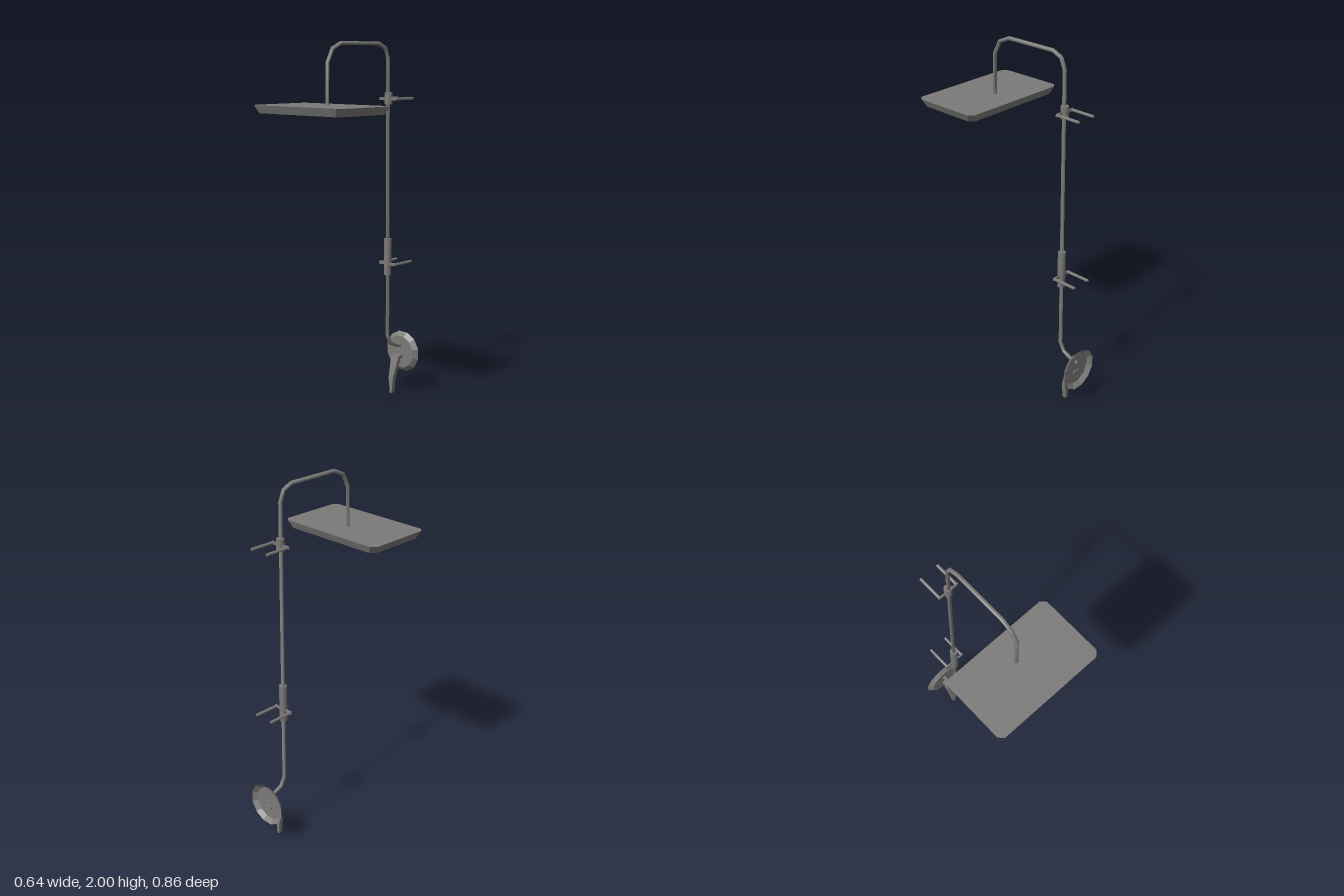
import * as THREE from 'three';
import { toCreasedNormals } from 'three/addons/utils/BufferGeometryUtils.js';

// Sweep a cross-section along points [y, z, halfWidth, halfDepth] in the x = 0 plane.
function sweep(path, sides, turn, caps) {
  const pos = [], index = [];
  const at = path.map(([y, z]) => new THREE.Vector2(z, y));
  path.forEach(([y, z, w, d], i) => {
    const before = at[Math.max(i - 1, 0)], after = at[Math.min(i + 1, at.length - 1)];
    const a = i > 0 ? at[i].clone().sub(before).normalize() : null;
    const b = i < at.length - 1 ? after.clone().sub(at[i]).normalize() : null;
    const t = (a && b ? a.clone().add(b) : a || b).clone().normalize();
    const miter = 1 / Math.abs(t.dot(a || b));
    for (let s = 0; s < sides; s++) {
      const ang = turn + (s / sides) * Math.PI * 2;
      const off = Math.sin(ang) * d * miter;
      pos.push(Math.cos(ang) * w, y - t.x * off, z + t.y * off);
      if (i < path.length - 1) {
        const p = i * sides + s, q = i * sides + (s + 1) % sides;
        index.push(p, p + sides, q, q, p + sides, q + sides);
      }
    }
  });
  if (caps) {
    const last = (path.length - 1) * sides;
    for (let s = 1; s < sides - 1; s++) {
      index.push(0, s, s + 1, last, last + s + 1, last + s);
    }
  }
  const g = new THREE.BufferGeometry();
  g.setAttribute('position', new THREE.Float32BufferAttribute(pos, 3));
  // Wind the faces outward
  for (let i = 0; i < index.length; i += 3) [index[i + 1], index[i + 2]] = [index[i + 2], index[i + 1]];
  g.setIndex(index);
  g.computeVertexNormals();
  return g;
}

export function createModel() {
  const root = new THREE.Group();
  root.name = 'rainShower';
  const metal = new THREE.MeshStandardMaterial({ color: 0x7b7a78, side: THREE.DoubleSide });
  metal.name = 'brushed grey metal';

  function add(name, geometry, crease, parent = root) {
    const mesh = new THREE.Mesh(toCreasedNormals(geometry, crease), metal);
    mesh.name = name;
    parent.add(mesh);
    return mesh;
  }

  // Shower head: chamfered slab, narrower underneath
  const w = 0.32, h = 0.195, c = 0.025;
  const outline = new THREE.Shape([
    [-w + c, -h], [w - c, -h], [w, -h + c], [w, h - c],
    [w - c, h], [-w + c, h], [-w, h - c], [-w, -h + c],
  ].map(([x, y]) => new THREE.Vector2(x, y)));
  const slab = new THREE.ExtrudeGeometry(outline, { depth: 0.042, bevelEnabled: false });
  const p = slab.attributes.position;
  for (let i = 0; i < p.count; i++) {
    if (p.getZ(i) > 0.02) {
      p.setX(i, p.getX(i) - Math.sign(p.getX(i)) * 0.022);
      p.setY(i, p.getY(i) - Math.sign(p.getY(i)) * 0.018);
    }
  }
  slab.rotateX(Math.PI / 2);
  add('showerHead', slab, 0.3).position.set(0, 1.672, 0.235);

  // Riser pipe with overhead arm and bent foot
  const r = 0.0105;
  const pipe = [
    [0.27, -0.412], [0.275, -0.375], [0.3, -0.32], [0.35, -0.294], [1.91, -0.285],
    [1.965, -0.262], [1.989, -0.21], [1.989, 0.085], [1.96, 0.15], [1.89, 0.187], [1.665, 0.19],
  ].map(([y, z]) => [y, z, r, r]);
  add('riserPipe', sweep(pipe, 8, Math.PI / 8, false), 0.9);

  // Clamp sleeves with twin wall prongs: sleeve bottom, sleeve top, prong height
  for (const [name, y0, y1, yProng] of [
    ['upperBracket', 1.662, 1.728, 1.692], ['lowerBracket', 0.706, 0.914, 0.77],
  ]) {
    const bracket = new THREE.Group();
    bracket.name = name;
    root.add(bracket);
    add('sleeve', new THREE.CylinderGeometry(0.021, 0.021, y1 - y0, 8), 0.9, bracket)
      .position.set(0, (y0 + y1) / 2, -0.291);
    add('crossBar', new THREE.BoxGeometry(0.122, 0.015, 0.008), 0.3, bracket)
      .position.set(0, yProng, -0.29);
    for (const side of [-1, 1]) {
      const prong = new THREE.CylinderGeometry(0.008, 0.008, 0.142, 8).rotateX(Math.PI / 2);
      add(side > 0 ? 'leftProng' : 'rightProng', prong, 0.9, bracket)
        .position.set(side * 0.054, yProng, -0.359);
    }
  }

  // Wall rose: flared shell, open towards the wall
  const profile = [[0.12, -0.43], [0.096, -0.407], [0, -0.407]].map(([x, y]) => new THREE.Vector2(x, y));
  const rose = new THREE.LatheGeometry(profile, 12).rotateY(Math.PI / 12).rotateX(Math.PI / 2);
  add('wallRose', rose, 0.3).position.y = 0.23;

  // Mixer lever: short stub and a tapering, bent handle
  add('leverStub', new THREE.BoxGeometry(0.038, 0.018, 0.045), 0.3).position.set(0, 0.206, -0.391);
  const k = Math.SQRT2;
  const lever = [
    [0.212, -0.371, 0.028, 0.01], [0.09, -0.337, 0.016, 0.012], [0, -0.337, 0.007, 0.012],
  ].map(([y, z, a, b]) => [y, z, a * k, b * k]);
  add('lever', sweep(lever, 4, Math.PI / 4, true), 0.3);

  return root;
}
